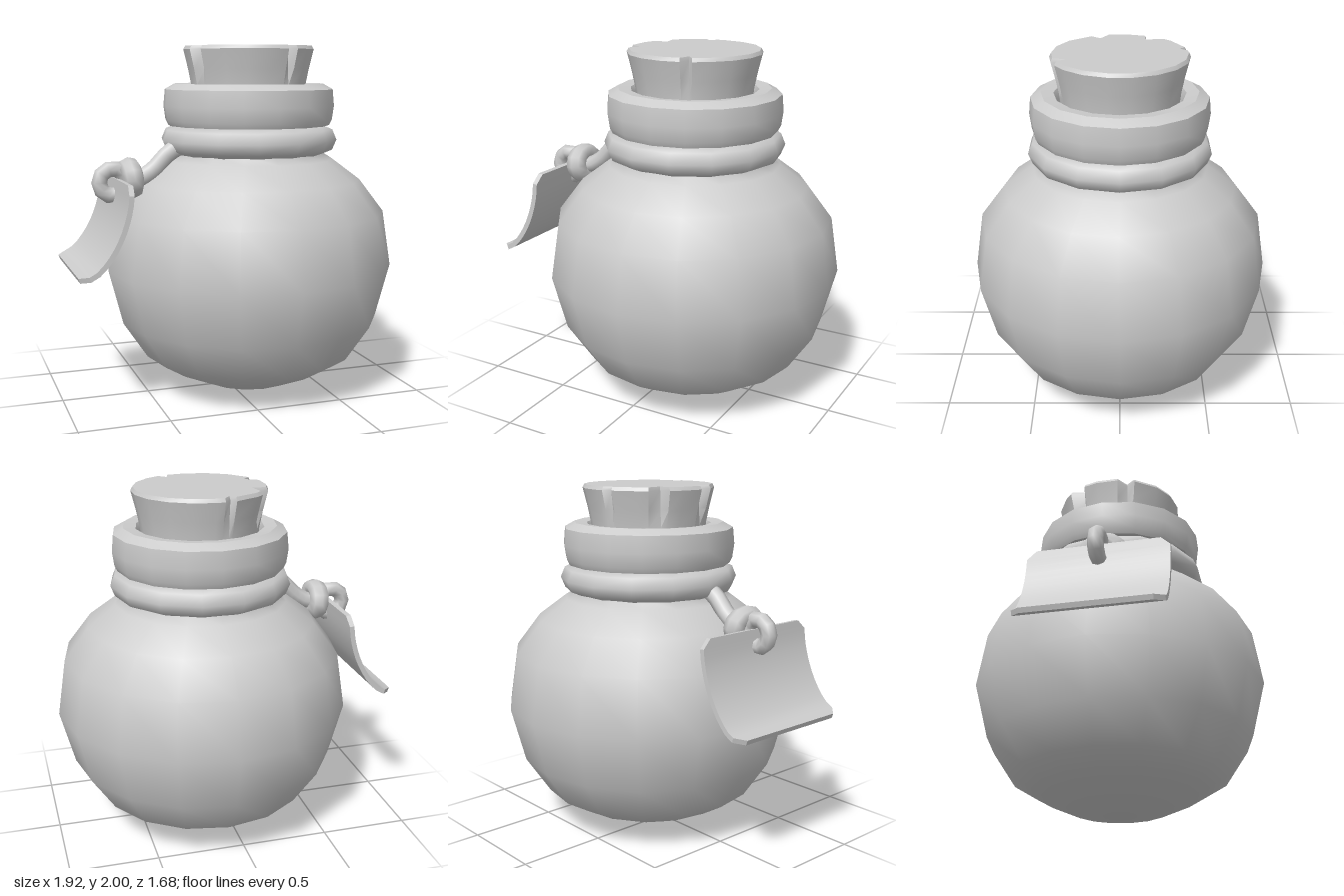
import * as THREE from 'three';
import { toCreasedNormals } from 'three/addons/utils/BufferGeometryUtils.js';

const CX = 0.12; // axis of the bottle
const material = new THREE.MeshStandardMaterial({ color: 0xcccccc });

function add(group, name, geometry, x = 0, y = 0, z = 0) {
  const mesh = new THREE.Mesh(geometry, material);
  mesh.name = name;
  mesh.position.set(x, y, z);
  group.add(mesh);
  return mesh;
}

function lathe(profile, sides) {
  return new THREE.LatheGeometry(profile.map(([r, y]) => new THREE.Vector2(r, y)), sides);
}

// Closed solid through rings of points that run counter-clockwise about the path
function loft(rings, crease) {
  const n = rings[0].length, points = rings.flat(), index = [];
  for (let i = 0; i < rings.length - 1; i++) {
    for (let j = 0; j < n; j++) {
      const k = (j + 1) % n, a = i * n + j, b = i * n + k;
      index.push(a, b, b + n, a, b + n, a + n);
    }
  }
  for (const end of [0, rings.length - 1]) {
    const centre = new THREE.Vector3();
    rings[end].forEach(p => centre.addScaledVector(p, 1 / n));
    const c = points.push(centre) - 1;
    for (let j = 0; j < n; j++) {
      const a = end * n + j, b = end * n + (j + 1) % n;
      if (end) index.push(c, a, b);
      else index.push(c, b, a);
    }
  }
  const g = new THREE.BufferGeometry().setFromPoints(points);
  g.setIndex(index);
  return toCreasedNormals(g, crease);
}

// Tapered cork with wedge-shaped chips that fade out downwards
function corkGeometry() {
  const chips = [ // angle, half width (degrees), depth
    [-168, 5, 0.035], [-122, 9, 0.07], [-72, 8, 0.06], [21, 5, 0.055],
  ];
  const cuts = [];
  for (let a = -180; a < 180; a += 20) {
    if (chips.every(([c, w]) => Math.abs(a - c) > w + 4)) cuts.push([a, 0]);
  }
  for (const [a, w, d] of chips) cuts.push([a - w, 0], [a + w * 0.35, d], [a + w, 0]);
  cuts.sort((p, q) => p[0] - q[0]);
  const levels = [ // radius, height, chip strength
    [0.31, 1.6, 0], [0.332, 1.78, 0.1], [0.35, 1.87, 0.5], [0.377, 1.98, 1], [0.366, 2.0, 1],
  ];
  return loft(levels.map(([r, y, k]) => cuts.map(([deg, d]) => {
    const a = THREE.MathUtils.degToRad(deg), s = r - d * k;
    return new THREE.Vector3(s * Math.sin(a), y, s * Math.cos(a));
  })), 0.6);
}

// Curled paper tag, swept down a curve in the xy plane
function tagGeometry() {
  const path = new THREE.CatmullRomCurve3([
    [-0.675, 1.27], [-0.69, 1.14], [-0.735, 1.0], [-0.805, 0.88], [-0.88, 0.805], [-0.955, 0.78],
  ].map(([x, y]) => new THREE.Vector3(x, y, 0)));
  const steps = 12, t = 0.014, rings = [];
  for (let i = 0; i <= steps; i++) {
    const p = path.getPointAt(i / steps), d = path.getTangentAt(i / steps);
    const end = i === 0 || i === steps; // clipped corners
    const w = end ? 0.34 : 0.392;
    rings.push([[-t, -w], [t, -w], [t, w], [-t, w]].map(([u, v]) =>
      new THREE.Vector3(p.x - d.y * u, p.y + d.x * u, 0.055 + v)));
  }
  return loft(rings, 0.6);
}

export function createModel() {
  const model = new THREE.Group();
  model.name = 'corkedBottle';

  // Round body with a short neck hidden by the rope
  add(model, 'body', lathe([
    [0, 0], [0.09, 0.003], [0.28, 0.035], [0.48, 0.125], [0.62, 0.21], [0.76, 0.42],
    [0.84, 0.73], [0.79, 1.05], [0.65, 1.235], [0.49, 1.355], [0.42, 1.4], [0.41, 1.58],
  ], 16), CX);

  // Thick lip, hollow in the middle
  add(model, 'lip', toCreasedNormals(lathe([
    [0.34, 1.6], [0.4, 1.55], [0.47, 1.55], [0.485, 1.58], [0.496, 1.66], [0.487, 1.755],
    [0.43, 1.787], [0.36, 1.78], [0.34, 1.74], [0.34, 1.6],
  ], 16), 0.6), CX);

  add(model, 'cork', corkGeometry(), CX);

  // Rope around the neck
  add(model, 'neckRope', new THREE.TorusGeometry(0.43, 0.083, 8, 14).rotateX(Math.PI / 2), CX, 1.467);

  // Loose rope end, knot and loop holding the tag
  const rope = new THREE.Group();
  rope.name = 'tagRope';
  rope.position.z = 0.06;
  model.add(rope);
  const path = new THREE.CatmullRomCurve3([
    [-0.28, 1.455], [-0.38, 1.4], [-0.47, 1.31], [-0.55, 1.265], [-0.65, 1.26],
  ].map(([x, y]) => new THREE.Vector3(x, y, 0)));
  add(rope, 'ropeEnd', new THREE.TubeGeometry(path, 10, 0.05, 8));
  const knot = add(rope, 'knot', new THREE.TorusGeometry(0.078, 0.056, 8, 12).rotateY(Math.PI / 2), -0.6, 1.27);
  knot.scale.set(1.05, 0.88, 1.05);
  knot.rotation.z = 0.12;
  add(rope, 'loop', new THREE.TorusGeometry(0.075, 0.045, 8, 10), -0.7, 1.25);

  add(model, 'tag', tagGeometry());
  return model;
}
